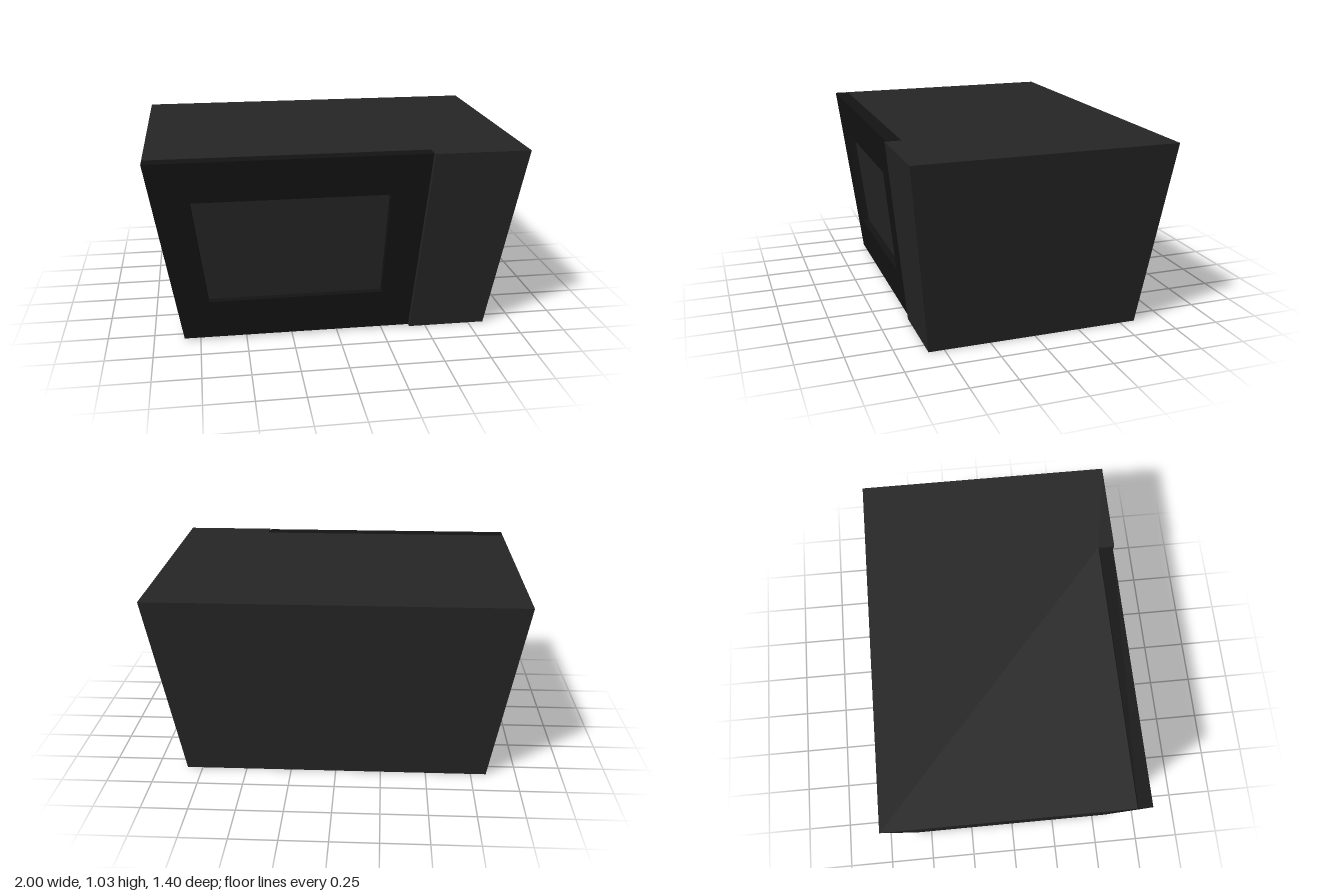
import * as THREE from 'three';

const H = 1.03;

// Narrow a geometry evenly towards the floor, then give it flat faces
function taper(geometry) {
  const g = geometry.index ? geometry.toNonIndexed() : geometry;
  const p = g.attributes.position;
  for (let i = 0; i < p.count; i++) {
    const s = 0.835 + 0.165 * p.getY(i) / H;
    p.setX(i, p.getX(i) * s);
    p.setZ(i, p.getZ(i) * s);
  }
  g.computeVertexNormals();
  return g;
}

const outline = (points) => points.map(([x, y]) => new THREE.Vector2(x, y));
const rect = (x0, x1, y0, y1) => outline([[x0, y0], [x1, y0], [x1, y1], [x0, y1]]);

export function createModel() {
  const group = new THREE.Group();
  const casing = new THREE.MeshStandardMaterial({ color: 0x262626 });
  const black = new THREE.MeshStandardMaterial({ color: 0x141414 });

  function add(name, geometry, material) {
    const mesh = new THREE.Mesh(taper(geometry), material);
    mesh.name = name;
    group.add(mesh);
  }

  // Casing: footprint with a step for the door, control panel on its left
  const footprint = new THREE.Shape(outline([
    [-1, 0.7], [-1, -0.61], [0.49, -0.61], [0.49, -0.7], [1, -0.7], [1, 0.7],
  ]));
  const body = new THREE.ExtrudeGeometry(footprint, { depth: H, bevelEnabled: false });
  body.rotateX(-Math.PI / 2);
  add('casing', body, casing);

  // Door frame with a window opening
  const frame = new THREE.Shape(rect(-1, 0.483, 0.01, H));
  frame.holes.push(new THREE.Path(rect(-0.8, 0.28, 0.23, 0.81).reverse()));
  const door = new THREE.ExtrudeGeometry(frame, { depth: 0.077, bevelEnabled: false });
  door.translate(0, 0, 0.613);
  add('doorFrame', door, black);

  // Window set back in the frame
  const pane = new THREE.BoxGeometry(1.08, 0.58, 0.03);
  pane.translate(-0.26, 0.52, 0.63);
  add('doorWindow', pane, casing);

  return group;
}
